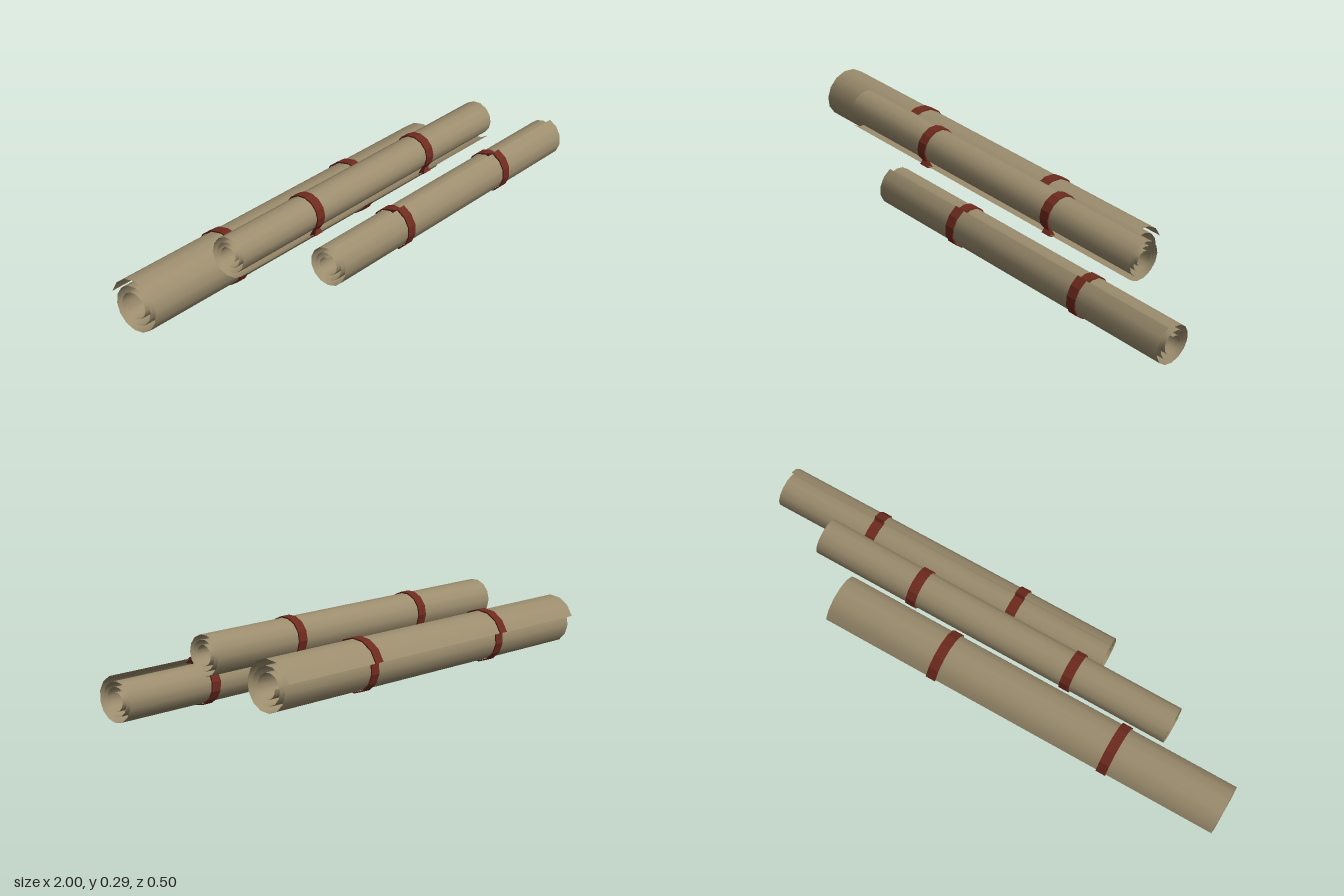
import * as THREE from 'three';

const TURNS = 2.96, STEPS_PER_TURN = 14;
const paper = new THREE.MeshStandardMaterial({ color: 0x9c8d6e, side: THREE.DoubleSide });
const ribbon = new THREE.MeshStandardMaterial({ color: 0x6e2a1e });

// Point on the rolled-up spiral after t turns; tip is the angle of the outer edge
function spiral(t, tip, scale, offset = 0) {
  const a = tip + (TURNS - t) * Math.PI * 2;
  const r = scale * (0.035 + 0.0236 * t) + offset;
  return new THREE.Vector2(r * Math.cos(a), r * Math.sin(a));
}

// Thin sheet wound around the x axis
function sheetGeometry(length, tip, scale) {
  const rows = Math.round(TURNS * STEPS_PER_TURN);
  const geo = new THREE.PlaneGeometry(length, 1, 1, rows);
  const pos = geo.attributes.position;
  for (let i = 0; i < pos.count; i++) {
    const p = spiral((0.5 - pos.getY(i)) * TURNS, tip, scale);
    pos.setXYZ(i, pos.getX(i), p.y, -p.x);
  }
  geo.computeVertexNormals();
  return geo;
}

// Flat strap that follows the outermost turn
function bandGeometry(tip, scale, width) {
  const loop = (offset) => Array.from({ length: STEPS_PER_TURN + 1 }, (_, i) =>
    spiral(TURNS - 1 + i / STEPS_PER_TURN, tip, scale, offset));
  const shape = new THREE.Shape(loop(0.006));
  shape.holes.push(new THREE.Path(loop(0.001)));
  const geo = new THREE.ExtrudeGeometry(shape, { depth: width, bevelEnabled: false });
  return geo.translate(0, 0, -width / 2).rotateY(Math.PI / 2);
}

function makeScroll({ name, x0, x1, y, zEnd, yaw, tip, scale, bands }) {
  const scroll = new THREE.Group();
  scroll.name = name;
  const length = x1 - x0, mid = (x0 + x1) / 2;
  const angle = THREE.MathUtils.degToRad(tip);

  const sheet = new THREE.Mesh(sheetGeometry(length - 0.004, angle, scale), paper);
  sheet.name = 'rolledSheet';
  scroll.add(sheet);

  for (const x of bands) {
    const band = new THREE.Mesh(bandGeometry(angle, scale, 0.038), ribbon);
    band.name = 'band';
    band.position.x = x - mid;
    scroll.add(band);
  }
  scroll.position.set(mid, y, zEnd + yaw * length / 2);
  scroll.rotation.y = yaw;
  return scroll;
}

export function createModel() {
  const model = new THREE.Group();
  model.name = 'scrollPile';
  const scrolls = [
    { name: 'backScroll', x0: -1, x1: 0.58, y: 0.105, zEnd: -0.146, yaw: 0.0285, tip: 15, scale: 1, bands: [-0.56, 0.135] },
    { name: 'frontScroll', x0: -0.357, x1: 0.998, y: 0.088, zEnd: 0.13, yaw: 0.031, tip: 111, scale: 0.8, bands: [0.02, 0.615] },
    { name: 'topScroll', x0: -0.7, x1: 0.73, y: 0.22, zEnd: 0.002, yaw: 0.028, tip: 227, scale: 0.75, bands: [-0.3, 0.33] },
  ];
  for (const s of scrolls) model.add(makeScroll(s));
  return model;
}
